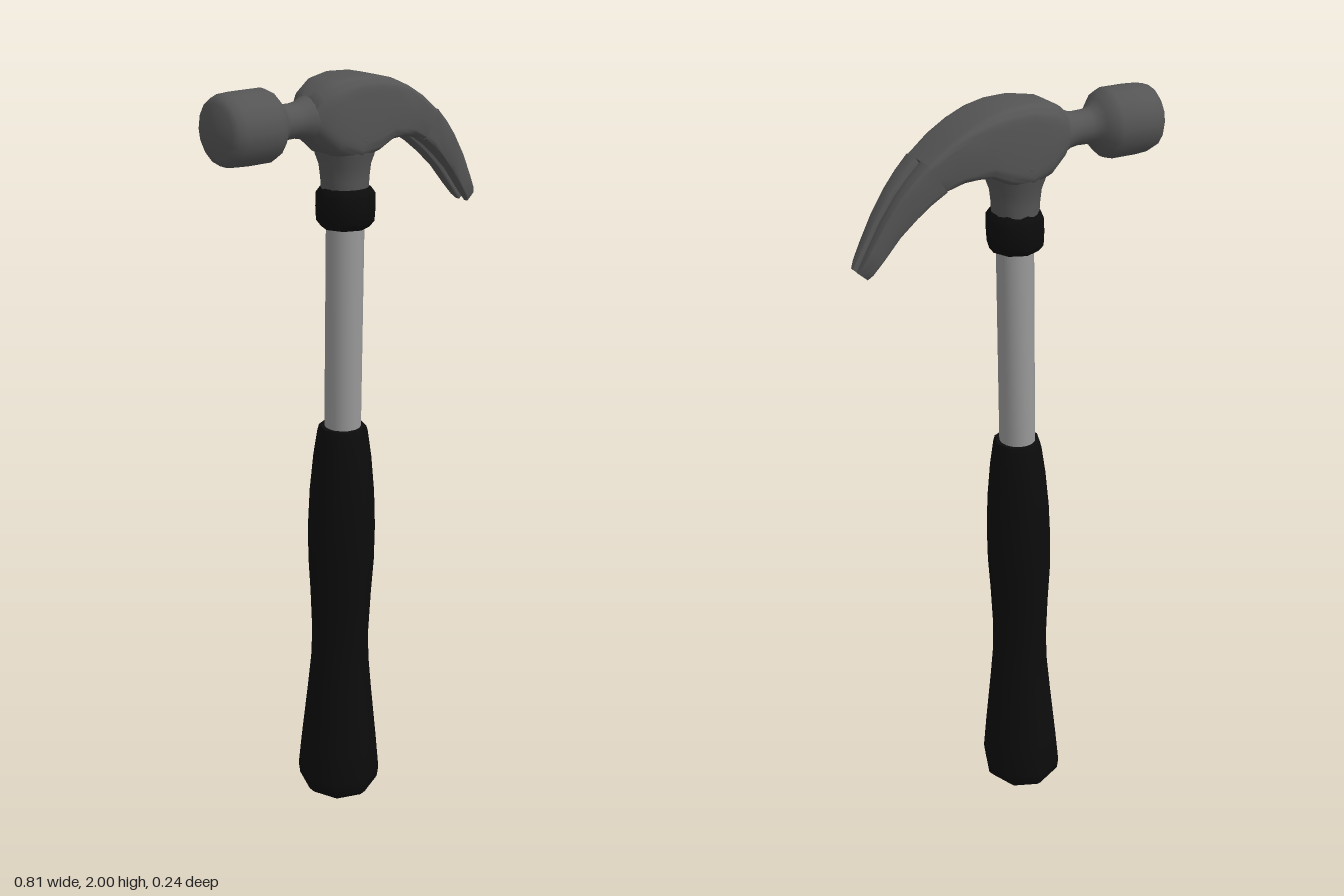
import * as THREE from 'three';
import { toCreasedNormals } from 'three/addons/utils/BufferGeometryUtils.js';

const HEAD_Z = 0.013;

const steel = new THREE.MeshStandardMaterial({ color: 0x555555 });
const tube = new THREE.MeshStandardMaterial({ color: 0x999999 });
const rubber = new THREE.MeshStandardMaterial({ color: 0x0c0c0c });

function addMesh(parent, name, geometry, material, crease = 0.7) {
  const mesh = new THREE.Mesh(toCreasedNormals(geometry, crease), material);
  mesh.name = name;
  parent.add(mesh);
  return mesh;
}

// Turned part from [radius, height] pairs
function turned(profile, segments) {
  return new THREE.LatheGeometry(profile.map(([r, y]) => new THREE.Vector2(r, y)), segments);
}

// The handle leans slightly: slide each level to its place on the axis
function lean(geometry, zScale = 1) {
  const p = geometry.attributes.position;
  for (let i = 0; i < p.count; i++) {
    const y = p.getY(i);
    p.setX(i, p.getX(i) - 0.038 + 0.0094 * y);
    p.setZ(i, p.getZ(i) * zScale + 0.009 * y);
  }
  return geometry;
}

// Skin over rounded-box sections: top x, y, bottom x, y, z from, z to, squareness
function loft(sections, sides = 32) {
  const pos = [], idx = [];
  const soft = (c, n) => Math.sign(c) * Math.pow(Math.abs(c), 2 / n);
  for (const [tx, ty, bx, by, z0, z1, n] of sections) {
    for (let j = 0; j < sides; j++) {
      const a = (j / sides) * Math.PI * 2;
      const u = soft(Math.cos(a), n), v = soft(Math.sin(a), n);
      pos.push((tx + bx + v * (tx - bx)) / 2, (ty + by + v * (ty - by)) / 2, (z0 + z1 + u * (z1 - z0)) / 2);
    }
  }
  const last = (sections.length - 1) * sides;
  const centres = [sections[0], sections[sections.length - 1]].map(([tx, ty, bx, by, z0, z1]) => {
    pos.push((tx + bx) / 2, (ty + by) / 2, (z0 + z1) / 2);
    return pos.length / 3 - 1;
  });
  for (let j = 0; j < sides; j++) {
    const k = (j + 1) % sides;
    for (let r = 0; r < last; r += sides) {
      const a = r + j, b = r + k, c = a + sides, d = b + sides;
      idx.push(a, c, b, b, c, d);
    }
    idx.push(centres[0], j, k, centres[1], last + k, last + j);
  }
  const g = new THREE.BufferGeometry();
  g.setAttribute('position', new THREE.Float32BufferAttribute(pos, 3));
  g.setIndex(idx);
  return g;
}

export function createModel() {
  const hammer = new THREE.Group();
  hammer.name = 'clawHammer';

  // Handle: eight-sided grip, metal shaft and collar
  const handle = new THREE.Group();
  handle.name = 'handle';
  hammer.add(handle);
  const gripProfile = [
    [0, 0.003], [0.09, 0.008], [0.107, 0.028], [0.111, 0.06], [0.102, 0.16], [0.086, 0.32],
    [0.077, 0.42], [0.075, 0.5], [0.08, 0.62], [0.086, 0.72], [0.087, 0.82], [0.083, 0.92],
    [0.074, 1.02], [0.064, 1.09], [0.06, 1.105], [0, 1.105],
  ];
  addMesh(handle, 'grip', lean(turned(gripProfile, 8), 1.06), rubber, 0.9);
  addMesh(handle, 'shaft', lean(turned([[0.047, 1.08], [0.047, 1.7]], 16), 1.03), tube);
  const collarProfile = [
    [0, 1.63], [0.06, 1.63], [0.072, 1.645], [0.074, 1.68], [0.073, 1.715], [0.062, 1.73], [0, 1.73],
  ];
  addMesh(handle, 'collar', lean(turned(collarProfile, 8)), rubber, 0.9);

  // Head
  const head = new THREE.Group();
  head.name = 'head';
  head.position.z = HEAD_Z;
  hammer.add(head);

  // Socket flaring from the collar into the body
  const socket = addMesh(head, 'socket',
    turned([[0.058, 1.7], [0.06, 1.75], [0.064, 1.785], [0.073, 1.81], [0.08, 1.85], [0, 1.87]], 20), steel);
  socket.position.x = -0.022;

  // Striking face and its narrow neck, turned about the x axis
  const pollProfile = [
    [0, -0.407], [0.064, -0.405], [0.077, -0.395], [0.084, -0.375], [0.086, -0.34], [0.086, -0.275],
    [0.08, -0.26], [0.062, -0.243], [0.048, -0.232], [0.042, -0.215], [0.041, -0.185],
    [0.044, -0.165], [0.053, -0.145], [0.058, -0.125], [0, -0.11],
  ];
  const poll = addMesh(head, 'strikingFace', turned(pollProfile, 16).rotateZ(-Math.PI / 2), steel);
  poll.position.y = 1.905;

  // Body: top x, y, bottom x, y, half width, squareness
  const body = [
    [-0.15, 1.95, -0.15, 1.86, 0.048, 2],
    [-0.13, 1.972, -0.13, 1.845, 0.061, 3],
    [-0.09, 1.993, -0.09, 1.815, 0.073, 4],
    [-0.03, 2.0, -0.03, 1.8, 0.079, 6],
    [0.03, 1.997, 0.03, 1.815, 0.081, 6],
    [0.08, 1.985, 0.075, 1.837, 0.08, 6],
    [0.13, 1.963, 0.11, 1.84, 0.076, 7],
    [0.18, 1.934, 0.145, 1.838, 0.07, 8],
    [0.235, 1.893, 0.19, 1.823, 0.062, 8],
  ];
  addMesh(head, 'body', loft(body.map(([a, b, c, d, w, n]) => [a, b, c, d, -w, w, n])), steel);

  // Two claw prongs either side of the nail slot
  const prong = [
    [0.235, 1.893, 0.19, 1.823, 0.062],
    [0.27, 1.86, 0.225, 1.8, 0.057],
    [0.303, 1.823, 0.262, 1.77, 0.051],
    [0.342, 1.768, 0.304, 1.73, 0.044],
    [0.376, 1.709, 0.346, 1.678, 0.037],
    [0.396, 1.673, 0.372, 1.647, 0.031],
    [0.406, 1.655, 0.383, 1.635, 0.022],
  ];
  const slot = 0.008;
  for (const side of [-1, 1]) {
    const sections = prong.map(([a, b, c, d, w]) =>
      side > 0 ? [a, b, c, d, slot, w, 9] : [a, b, c, d, -w, -slot, 9]);
    addMesh(head, side > 0 ? 'frontClaw' : 'backClaw', loft(sections), steel);
  }
  return hammer;
}
